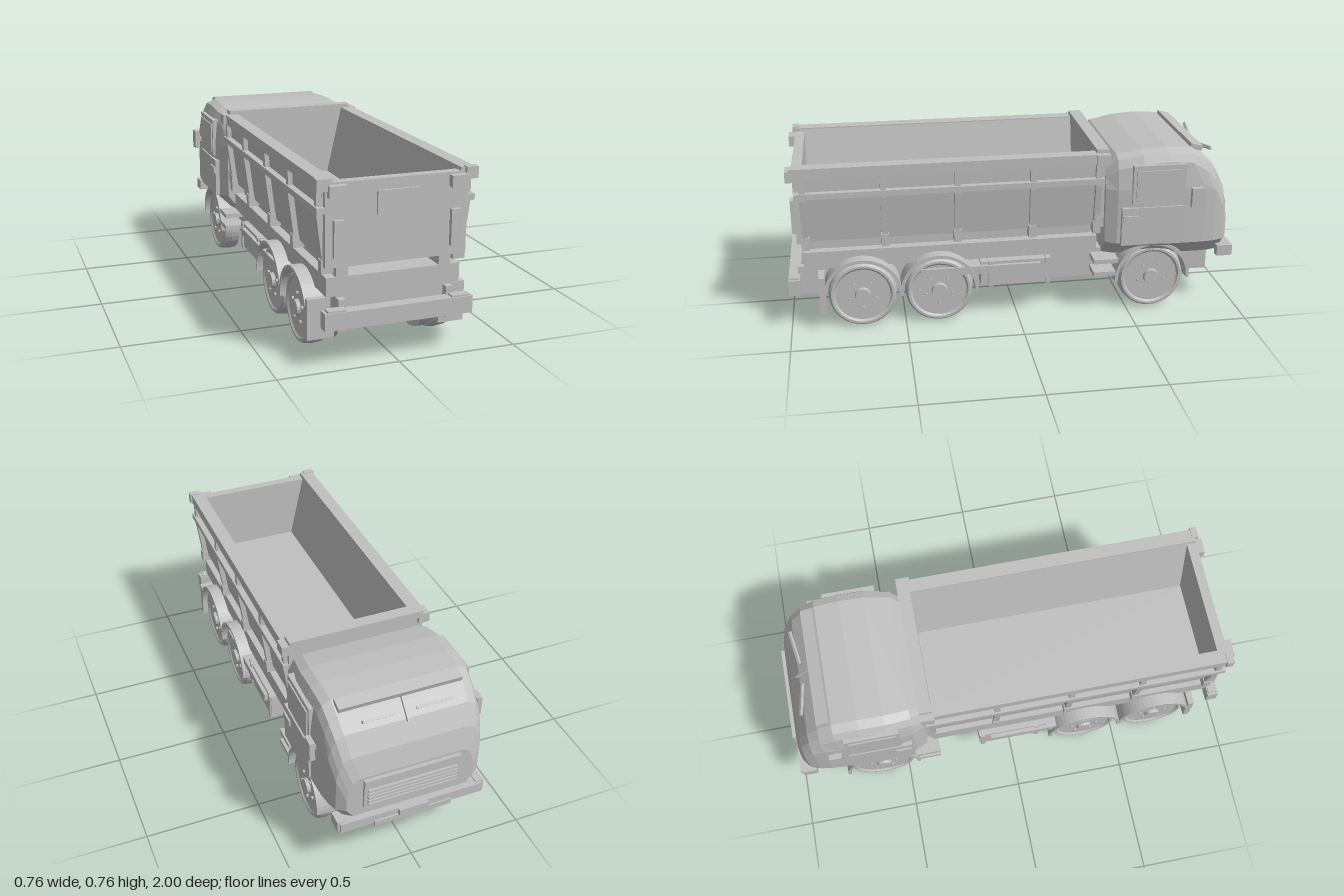
import * as THREE from 'three';

const grey = new THREE.MeshStandardMaterial({ color: 0xc0c0c0, flatShading: true });
grey.name = 'body grey';

export function createModel() {
  const model = new THREE.Group();
  model.name = 'dumpTruck';

  const add = (name, geo, parent = model) => {
    const m = new THREE.Mesh(geo, grey);
    m.name = name;
    parent.add(m);
    return m;
  };
  // Box given by its limits on each axis
  const box = (name, x0, x1, y0, y1, z0, z1) => {
    const m = add(name, new THREE.BoxGeometry(Math.abs(x1 - x0), y1 - y0, Math.abs(z1 - z0)));
    m.position.set((x0 + x1) / 2, (y0 + y1) / 2, (z0 + z1) / 2);
    return m;
  };
  // The same box on both sides
  const pair = (name, x0, x1, ...rest) => {
    box(name + 'Left', x0, x1, ...rest);
    box(name + 'Right', -x1, -x0, ...rest);
  };
  // Flat outline in x and y, extruded from z0 to z1
  const slab = (name, pts, z0, z1) => {
    const shape = new THREE.Shape(pts.map(p => new THREE.Vector2(...p)));
    const m = add(name, new THREE.ExtrudeGeometry(shape, { depth: z1 - z0, bevelEnabled: false }));
    m.position.z = z0;
    return m;
  };
  const flip = pts => pts.map(([x, y]) => [-x, y]).reverse();

  // Chassis, subframe and bumpers
  box('chassis', -0.24, 0.24, 0.14, 0.275, -0.89, 0.93);
  box('subframe', -0.28, 0.28, 0.275, 0.352, -0.36, 0.93);
  pair('bedSupport', 0.19, 0.24, 0.35, 0.41, -0.34, 0.93);
  box('rearBumper', -0.308, 0.308, 0.165, 0.235, 0.95, 1.0);
  pair('bumperBracket', 0.21, 0.24, 0.14, 0.27, 0.92, 0.96);
  pair('rearLamp', 0.22, 0.295, 0.215, 0.242, 0.955, 0.995);
  box('frontBumper', -0.315, 0.315, 0.235, 0.28, -0.985, -0.93);
  pair('bumperEnd', 0.29, 0.325, 0.235, 0.285, -0.975, -0.91);
  box('bumperPlate', -0.17, 0.17, 0.225, 0.25, -0.992, -0.95);
  box('numberPlate', -0.065, 0.065, 0.25, 0.28, -1.0, -0.98);

  // Load bed: sloped-wall trough with rails and a ribbed outside
  const half = [[0.27, 0.4], [0.297, 0.62], [0.3, 0.74], [0.262, 0.74], [0.192, 0.43]];
  slab('bedTrough', [...half, ...flip(half)], -0.35, 0.93);
  box('bedFrontWall', -0.3, 0.3, 0.4, 0.74, -0.385, -0.345);
  box('bedFrontBar', -0.303, 0.303, 0.73, 0.762, -0.4, -0.345);
  pair('bedFrontCorner', 0.285, 0.335, 0.7, 0.745, -0.4, -0.34);
  pair('topRail', 0.262, 0.322, 0.7, 0.745, -0.36, 0.95);
  pair('sideRail', 0.285, 0.325, 0.61, 0.635, -0.38, 0.95);
  const rib = [[0.25, 0.4], [0.292, 0.4], [0.318, 0.6], [0.318, 0.72], [0.27, 0.72]];
  for (const z of [0.915, 0.577, 0.262, -0.067, -0.355]) {
    slab('ribLeft', rib, z - 0.013, z + 0.013);
    slab('ribRight', flip(rib), z - 0.013, z + 0.013);
    pair('ribFoot', 0.25, 0.3, 0.37, 0.425, z - 0.017, z + 0.017);
  }

  // Tailgate
  box('tailgate', -0.292, 0.292, 0.398, 0.73, 0.91, 0.952);
  box('tailgatePanel', -0.085, 0.085, 0.592, 0.686, 0.95, 0.962);
  pair('tailgateHinge', 0.213, 0.285, 0.675, 0.722, 0.945, 0.982);
  pair('tailgateLamp', 0.22, 0.262, 0.438, 0.586, 0.945, 0.97);
  pair('tailgatePin', 0.28, 0.33, 0.7, 0.748, 0.935, 0.965);

  // Cab lofted through sections: z, half width, bottom, top
  const sections = [
    [-0.39, 0.305, 0.26, 0.68], [-0.44, 0.33, 0.258, 0.725], [-0.55, 0.345, 0.255, 0.745],
    [-0.66, 0.345, 0.25, 0.752], [-0.77, 0.342, 0.248, 0.745], [-0.835, 0.338, 0.246, 0.705],
    [-0.885, 0.33, 0.245, 0.655], [-0.93, 0.315, 0.245, 0.57], [-0.957, 0.28, 0.25, 0.475],
  ];
  const rings = sections.map(([z, w, b, t]) => {
    const side = [
      [w * 0.82, b], [w, b + 0.07], [w, Math.min(0.58, t - 0.1)],
      [w * 0.965, t - 0.055], [w * 0.91, t - 0.016], [w * 0.8, t],
    ];
    return [...side, ...flip(side)].map(([x, y]) => [x, y, z]);
  });
  const verts = [];
  const count = rings[0].length;
  const cap = (ring, front) => {
    for (let j = 1; j < count - 1; j++) {
      const [p, q] = front ? [ring[j + 1], ring[j]] : [ring[j], ring[j + 1]];
      verts.push(...ring[0], ...p, ...q);
    }
  };
  for (let i = 0; i < rings.length - 1; i++) {
    for (let j = 0; j < count; j++) {
      const k = (j + 1) % count, a = rings[i], b = rings[i + 1];
      verts.push(...a[j], ...b[j], ...a[k], ...a[k], ...b[j], ...b[k]);
    }
  }
  cap(rings[0], false);
  cap(rings[rings.length - 1], true);
  const cabGeo = new THREE.BufferGeometry();
  cabGeo.setAttribute('position', new THREE.Float32BufferAttribute(verts, 3));
  cabGeo.computeVertexNormals();
  add('cab', cabGeo);

  // Roof visor, windscreen divider and wipers
  const visor = box('roofVisor', -0.265, 0.265, 0.728, 0.75, -0.83, -0.775);
  visor.rotation.x = -0.25;
  const divider = box('windscreenDivider', -0.003, 0.003, 0.66, 0.672, -0.92, -0.82);
  divider.position.set(0, 0.687, -0.863);
  divider.rotation.x = -0.8;
  for (const s of [-1, 1]) {
    const wiper = add('wiper', new THREE.BoxGeometry(0.15, 0.012, 0.012));
    wiper.position.set(s * 0.12, 0.696, -0.882);
    wiper.rotation.set(0.8, s * 0.2, 0);
  }

  // Grille with horizontal bars
  box('grille', -0.21, 0.21, 0.325, 0.465, -0.968, -0.94);
  box('grilleTop', -0.21, 0.21, 0.425, 0.465, -0.974, -0.95);
  for (let i = 0; i < 5; i++) {
    const y = 0.335 + i * 0.018;
    box('grilleBar', -0.195, 0.195, y, y + 0.01, -0.98, -0.96);
  }

  // Doors, windows, handles and mirrors
  pair('doorPanel', 0.32, 0.352, 0.325, 0.5, -0.735, -0.455);
  pair('windowFrame', 0.31, 0.35, 0.515, 0.692, -0.735, -0.5);
  pair('windowPane', 0.32, 0.356, 0.53, 0.67, -0.72, -0.515);
  pair('doorHandle', 0.33, 0.36, 0.435, 0.465, -0.53, -0.46);
  pair('mirrorArm', 0.32, 0.365, 0.53, 0.55, -0.79, -0.775);
  pair('mirror', 0.355, 0.378, 0.498, 0.586, -0.815, -0.76);

  // Side tank, guard rail and cab steps
  pair('sideTank', 0.23, 0.305, 0.155, 0.268, -0.15, 0.165);
  pair('tankStrap', 0.23, 0.312, 0.15, 0.272, -0.145, -0.125);
  pair('tankStrapRear', 0.23, 0.312, 0.15, 0.272, 0.11, 0.13);
  pair('guardRail', 0.24, 0.322, 0.22, 0.255, -0.1, 0.43);
  pair('upperStep', 0.24, 0.335, 0.235, 0.255, -0.45, -0.34);
  pair('lowerStep', 0.24, 0.335, 0.175, 0.195, -0.44, -0.34);
  pair('mudflap', 0.225, 0.335, 0.082, 0.25, 0.845, 0.872);

  // Wheels and arched fenders
  const tyreGeo = new THREE.LatheGeometry([
    [0, -0.045], [0.13, -0.045], [0.146, -0.035], [0.15, 0], [0.146, 0.035],
    [0.138, 0.045], [0.128, 0.045], [0.12, 0.038], [0, 0.038],
  ].map(p => new THREE.Vector2(...p)), 32);
  const hubGeo = new THREE.CylinderGeometry(0.032, 0.036, 0.02, 16);
  const boltGeo = new THREE.CylinderGeometry(0.007, 0.007, 0.012, 8);
  const innerGeo = new THREE.CylinderGeometry(0.14, 0.14, 0.035, 32);
  const arch = new THREE.Shape();
  arch.absarc(0, 0, 0.172, -0.05, Math.PI + 0.05, false);
  arch.absarc(0, 0, 0.158, Math.PI + 0.05, -0.05, true);
  const archGeo = new THREE.ExtrudeGeometry(arch, { depth: 0.11, bevelEnabled: false, curveSegments: 14 });
  archGeo.rotateY(Math.PI / 2);

  for (const s of [-1, 1]) {
    for (const z of [0.685, 0.35, -0.61]) {
      const wheel = new THREE.Group();
      wheel.name = 'wheel';
      wheel.position.set(s * 0.27, 0.15, z);
      wheel.rotation.z = -s * Math.PI / 2;
      model.add(wheel);
      add('tyre', tyreGeo, wheel);
      add('hub', hubGeo, wheel).position.y = 0.044;
      for (let i = 0; i < 5; i++) {
        const a = i * Math.PI * 0.4;
        add('wheelBolt', boltGeo, wheel).position.set(Math.cos(a) * 0.062, 0.041, Math.sin(a) * 0.062);
      }
      if (z > 0) add('innerTyre', innerGeo, wheel).position.y = -0.0725;
      add('fender', archGeo).position.set(s > 0 ? 0.225 : -0.335, 0.152, z);
    }
  }
  return model;
}
